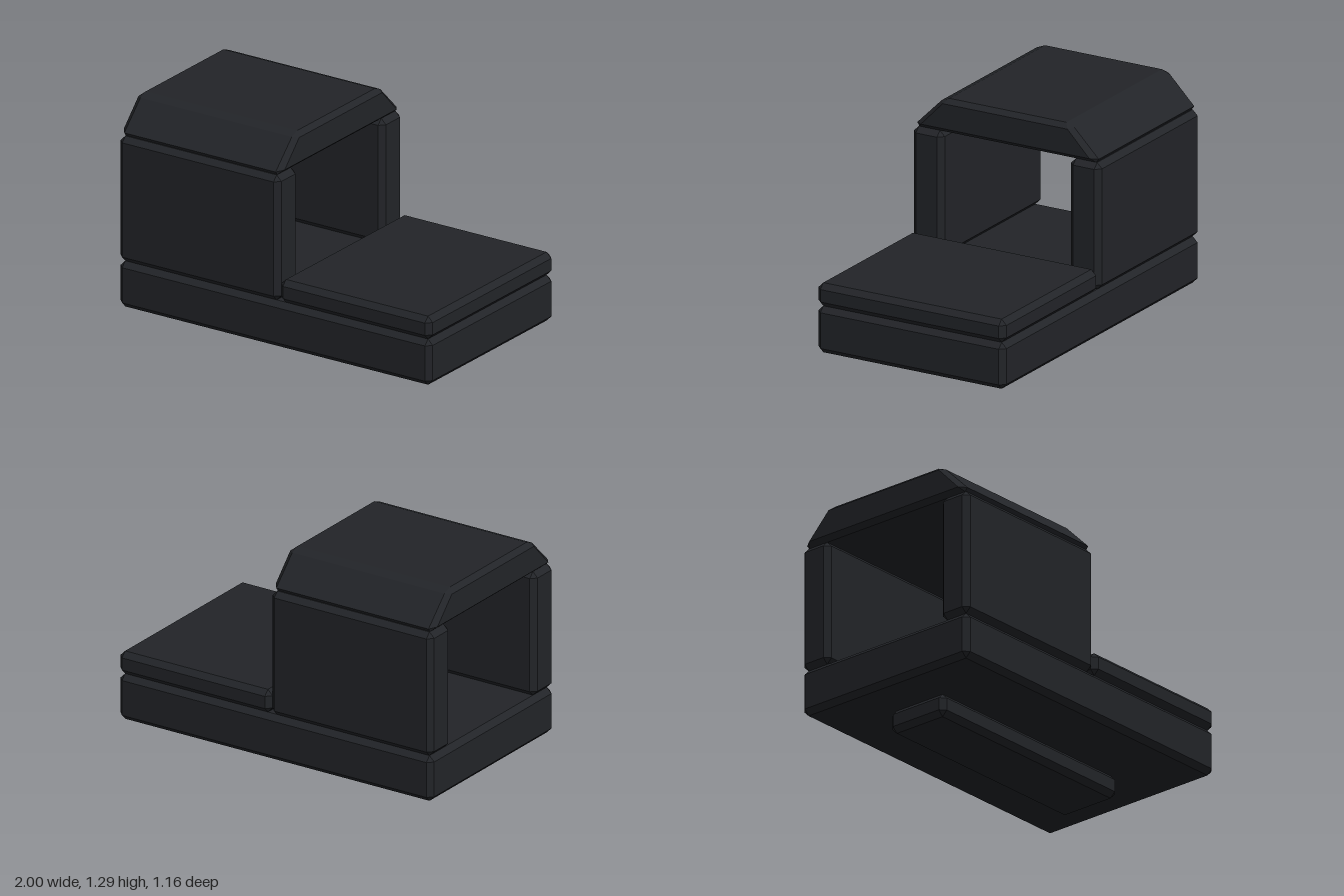
import * as THREE from 'three';
import { ConvexGeometry } from 'three/addons/geometries/ConvexGeometry.js';

const BEVEL = 0.03;
const material = new THREE.MeshStandardMaterial({ color: 0x222428, flatShading: true });

function hullMesh(name, points) {
  const mesh = new THREE.Mesh(new ConvexGeometry(points), material);
  mesh.name = name;
  return mesh;
}

// Box between two corners with every edge chamfered: each face is inset by the bevel
function bevelBox(name, min, max, bevel = BEVEL) {
  const points = [];
  for (let axis = 0; axis < 3; axis++) {
    for (let corner = 0; corner < 8; corner++) {
      const p = [0, 1, 2].map((i) => {
        const inset = i === axis ? 0 : bevel;
        return corner & (1 << i) ? max[i] - inset : min[i] + inset;
      });
      points.push(new THREE.Vector3(...p));
    }
  }
  return hullMesh(name, points);
}

// Hip-sided roof block: full profile along the length, smaller profile on the end faces
function roofBlock(name, x0, x1) {
  const full = [[0.545, 1.10], [0.56, 1.12], [0.41, 1.27], [0.36, 1.29]];
  const end = [[0.52, 1.125], [0.385, 1.265]];
  const points = [];
  const addRing = (x, profile) => {
    for (const [z, y] of profile) {
      for (const side of [-1, 1]) points.push(new THREE.Vector3(x, y, side * z));
    }
  };
  addRing(x0, end);
  addRing(x0 + BEVEL, full);
  addRing(x1 - BEVEL, full);
  addRing(x1, end);
  return hullMesh(name, points);
}

export function createModel() {
  const model = new THREE.Group();
  model.name = 'tunnelBlock';

  // Narrow rail under the body
  model.add(bevelBox('bottomRail', [-0.74, 0, -0.19], [0.67, 0.13, 0.19]));

  // Full-length base slab and the raised deck on its +x half
  model.add(bevelBox('baseSlab', [-1, 0.13, -0.58], [1, 0.39, 0.58]));
  model.add(bevelBox('deckPlate', [0.03, 0.39, -0.58], [1, 0.52, 0.58]));

  // Side walls leave an open passage along x
  model.add(bevelBox('frontWall', [-1, 0.39, 0.39], [0.03, 1.10, 0.58]));
  model.add(bevelBox('backWall', [-1, 0.39, -0.58], [0.03, 1.10, -0.39]));

  // Roof with sloped sides
  model.add(roofBlock('roof', -1, 0.03));

  return model;
}
